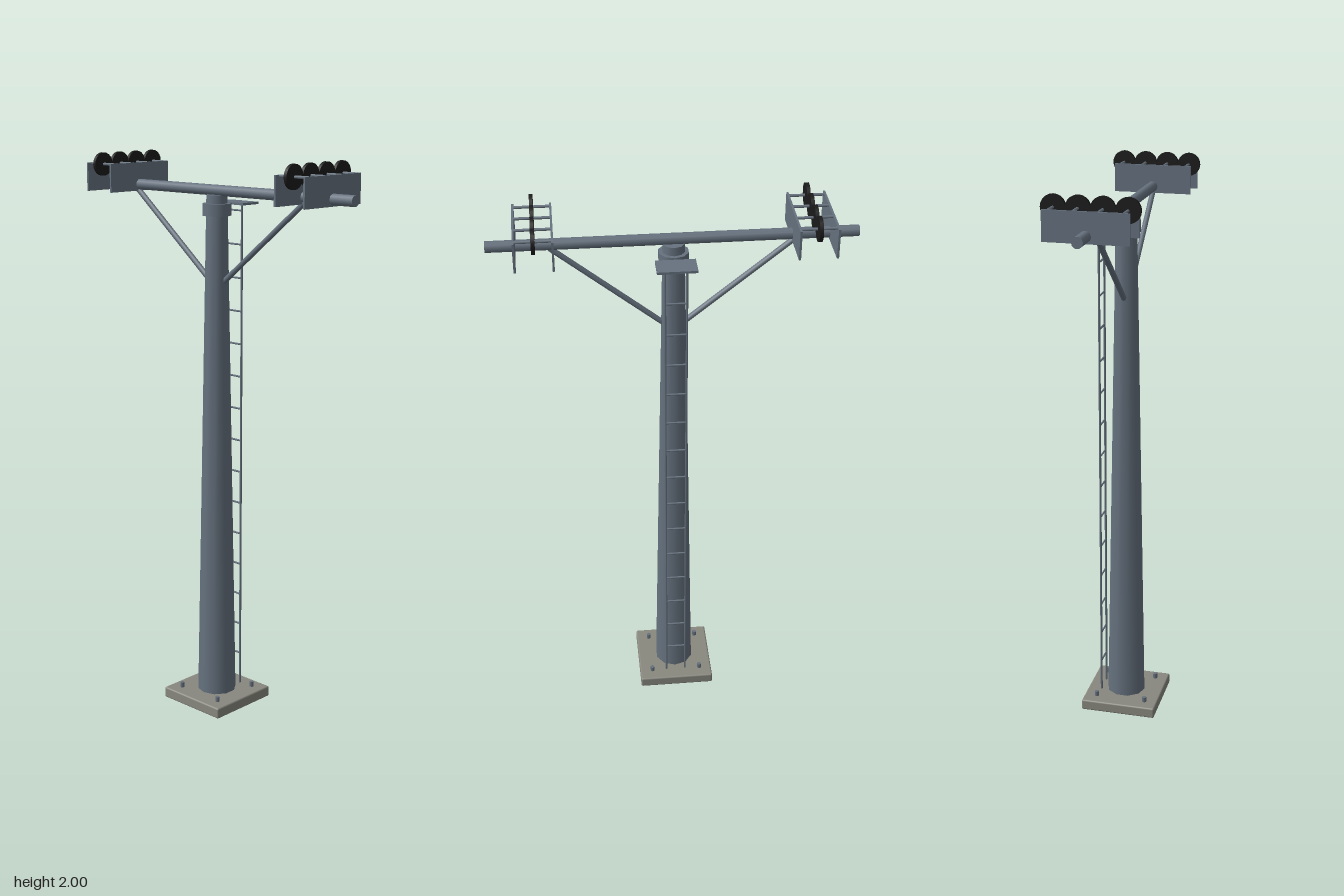
import * as THREE from 'three';
import { RoundedBoxGeometry } from 'three/addons/geometries/RoundedBoxGeometry.js';

const mat = (name, color) => {
  const m = new THREE.MeshStandardMaterial({ color });
  m.name = name;
  return m;
};

export function createModel() {
  const steel = mat('galvanised steel', 0x66727f);
  const rubber = mat('black rubber', 0x1a1a1b);
  const concrete = mat('concrete', 0x88887f);

  const root = new THREE.Group();
  root.name = 'liftTower';
  const add = (parent, name, geo, material, x = 0, y = 0, z = 0) => {
    const m = new THREE.Mesh(geo, material);
    m.name = name;
    m.position.set(x, y, z);
    parent.add(m);
    return m;
  };
  // round bar between two points
  const bar = (parent, name, a, b, r, material, sides = 8) => {
    const p = new THREE.Vector3(...a), q = new THREE.Vector3(...b);
    const d = q.clone().sub(p);
    const m = add(parent, name, new THREE.CylinderGeometry(r, r, d.length(), sides), material);
    m.position.copy(p).add(q).multiplyScalar(0.5);
    m.quaternion.setFromUnitVectors(new THREE.Vector3(0, 1, 0), d.normalize());
    return m;
  };

  // footing and anchor bolts
  add(root, 'footing', new RoundedBoxGeometry(0.278, 0.04, 0.278, 2, 0.006), concrete, 0, 0.02, 0);
  for (const x of [-0.092, 0.092]) for (const z of [-0.092, 0.092])
    add(root, 'anchorBolt', new THREE.CylinderGeometry(0.008, 0.008, 0.022, 6), steel, x, 0.048, z);

  // tapered mast with collar
  add(root, 'mast', new THREE.CylinderGeometry(0.037, 0.071, 1.835, 10), steel, 0, 0.9525, 0);
  add(root, 'collar', new THREE.CylinderGeometry(0.051, 0.051, 0.042, 10), steel, 0, 1.82, 0);

  // crossarm and diagonal braces
  bar(root, 'crossarm', [-0.605, 1.885, 0], [0.605, 1.885, 0], 0.019, steel, 10);

  for (const s of [-1, 1]) {
    bar(root, 'brace', [s * 0.03, 1.57, 0], [s * 0.4, 1.871, 0], 0.01, steel);

    // sheave assembly: two side plates, four axles and wheels
    const sheaves = new THREE.Group();
    sheaves.name = s > 0 ? 'leftSheaves' : 'rightSheaves';
    sheaves.position.x = s * 0.45;
    root.add(sheaves);
    for (const x of [-0.061, 0.061])
      add(sheaves, 'sidePlate', new THREE.BoxGeometry(0.007, 0.1, 0.28), steel, x, 1.912, 0);
    for (let i = 0; i < 4; i++) {
      const z = (i - 1.5) * 0.08;
      bar(sheaves, 'axle', [-0.064, 1.959, z], [0.064, 1.959, z], 0.005, steel);
      bar(sheaves, 'wheel', [-0.006, 1.959, z], [0.006, 1.959, z], 0.041, rubber, 20);
    }
  }

  // ladder behind the mast
  const ladder = new THREE.Group();
  ladder.name = 'ladder';
  root.add(ladder);
  for (const x of [-0.036, 0.036])
    bar(ladder, 'rail', [x, 0.035, -0.088], [x, 1.838, -0.088], 0.004, steel, 6);
  for (let i = 0; i < 15; i++) {
    const y = 0.16 + i * 0.118;
    bar(ladder, 'rung', [-0.036, y, -0.088], [0.036, y, -0.088], 0.0035, steel, 6);
  }

  // small work platform at the ladder head
  add(root, 'platform', new THREE.BoxGeometry(0.132, 0.008, 0.08), steel, 0, 1.837, -0.1);
  return root;
}
